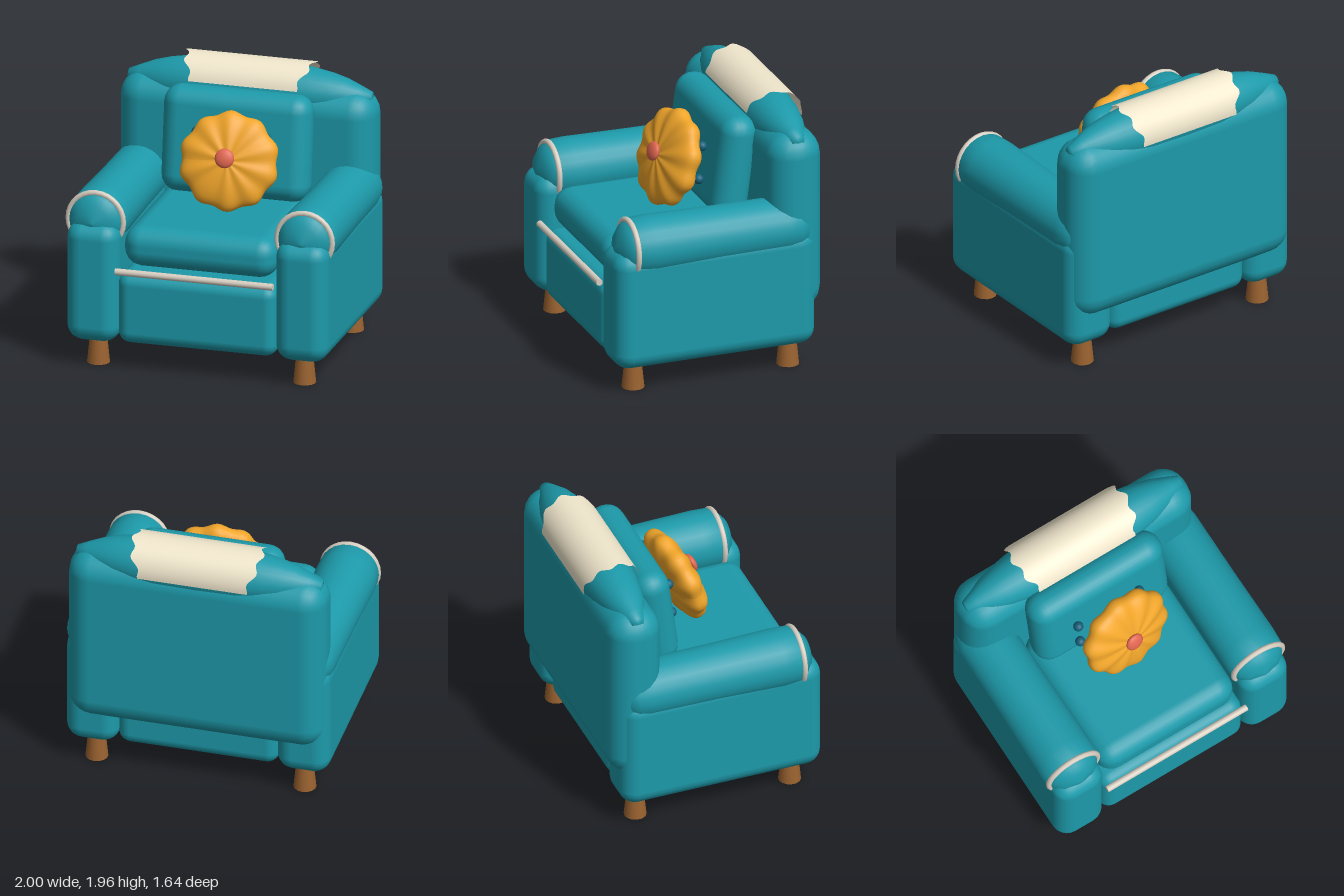
import * as THREE from 'three';
import { RoundedBoxGeometry } from 'three/addons/geometries/RoundedBoxGeometry.js';

const mat = (color, side = THREE.FrontSide) => new THREE.MeshStandardMaterial({ color, side });

export function createModel() {
  const model = new THREE.Group();
  const teal = mat(0x1d9aaa), darkTeal = mat(0x14607a), cream = mat(0xf0e6cc, THREE.DoubleSide);
  const piping = mat(0xd8cfc2), wood = mat(0x9a6230), mustard = mat(0xf0a52a), coral = mat(0xe0664f);

  const add = (name, geometry, material, x = 0, y = 0, z = 0, parent = model) => {
    const mesh = new THREE.Mesh(geometry, material);
    mesh.name = name;
    mesh.position.set(x, y, z);
    parent.add(mesh);
    return mesh;
  };
  const softBox = (w, h, d, r) => new RoundedBoxGeometry(w, h, d, 3, r);
  const lathe = (pts, n) => new THREE.LatheGeometry(pts.map(p => new THREE.Vector2(p[0], p[1])), n);

  // Body
  add('base', softBox(1.18, 0.53, 1.46, 0.09), teal, 0, 0.465, 0.04);
  add('seatCushion', softBox(1.13, 0.3, 1.15, 0.13), teal, 0, 0.91, 0.155);
  add('backrest', softBox(1.9, 1.38, 0.4, 0.18), teal, 0, 1.11, -0.6);
  add('frontPiping', new THREE.CylinderGeometry(0.025, 0.025, 1.17, 12), piping, 0, 0.755, 0.795)
    .rotation.z = Math.PI / 2;

  // Arms, rolled arm tops, trim rings and legs on both sides
  const rollProfile = [[0, -0.72], [0.1, -0.71], [0.17, -0.67], [0.2, -0.61], [0.21, -0.52],
    [0.213, 0], [0.222, 0.5], [0.216, 0.62], [0.18, 0.68], [0.12, 0.73], [0, 0.755]];
  for (const s of [1, -1]) {
    add('arm', softBox(0.39, 0.89, 1.53, 0.12), teal, s * 0.775, 0.635, 0.035);
    add('armRoll', lathe(rollProfile, 24), teal, s * 0.775, 1.075, 0).rotation.x = Math.PI / 2;
    add('armTrim', new THREE.TorusGeometry(0.204, 0.021, 8, 28), piping, s * 0.775, 1.075, 0.645);
    for (const z of [0.61, -0.57])
      add('leg', new THREE.CylinderGeometry(0.06, 0.082, 0.22, 14), wood, s * 0.765, 0.11, z);
  }

  // Spindle-shaped bolster along the top of the backrest
  const half = [[0.2, 0], [0.196, 0.3], [0.18, 0.46], [0.155, 0.6], [0.125, 0.71],
    [0.08, 0.82], [0.045, 0.9], [0, 0.905]];
  const spindle = [...half.slice(1).reverse().map(([r, y]) => [r, -y]), ...half];
  add('topBolster', lathe(spindle, 24), teal, 0, 1.745, -0.6).rotation.z = Math.PI / 2;

  // Draped cover: an open arc over the bolster with scalloped side edges
  const drape = new THREE.PlaneGeometry(1, 1, 24, 32);
  const dp = drape.attributes.position;
  for (let i = 0; i < dp.count; i++) {
    const t = dp.getY(i) + 0.5;
    const a = THREE.MathUtils.lerp(0.27, Math.PI + 0.1, t);
    const halfWidth = 0.385 + 0.085 * Math.sin(Math.PI * t) + 0.018 * Math.cos(t * Math.PI * 8);
    dp.setXYZ(i, dp.getX(i) * 2 * halfWidth, 1.75 + 0.215 * Math.sin(a), -0.605 + 0.215 * Math.cos(a));
  }
  drape.computeVertexNormals();
  add('headrestCover', drape, cream);

  // Leaning back cushion with four buttons
  add('backCushion', softBox(1.1, 0.78, 0.27, 0.13), teal, 0, 1.425, -0.285).rotation.x = -0.13;
  for (const x of [-0.255, 0.255])
    for (const [y, z] of [[1.54, -0.115], [1.29, -0.09]])
      add('cushionButton', new THREE.SphereGeometry(0.037, 14, 10), darkTeal, x, y, z);

  // Scalloped round pillow: a flattened sphere whose rim swells into lobes
  const pillow = new THREE.Group();
  pillow.name = 'pillow';
  pillow.position.set(0.035, 1.4, 0.05);
  pillow.rotation.set(-0.32, 0.14, 0, 'YXZ');
  model.add(pillow);
  const puff = new THREE.SphereGeometry(1, 80, 24);
  puff.rotateX(Math.PI / 2);
  const pp = puff.attributes.position;
  for (let i = 0; i < pp.count; i++) {
    const x = pp.getX(i), y = pp.getY(i), z = pp.getZ(i);
    const r = Math.hypot(x, y), lobe = Math.cos(10 * Math.atan2(x, y));
    const k = 0.35 * (1 + 0.035 * lobe * r * r);
    const depth = 0.115 * Math.sign(z) * Math.pow(Math.abs(z), 0.8) * (1 + 0.1 * lobe * r);
    pp.setXYZ(i, x * k, y * k, depth);
  }
  puff.computeVertexNormals();
  add('pillowBody', puff, mustard, 0, 0, 0, pillow);
  add('pillowButton', new THREE.SphereGeometry(0.07, 20, 14), coral, -0.015, 0.02, 0.135, pillow)
    .scale.z = 0.45;

  return model;
}
